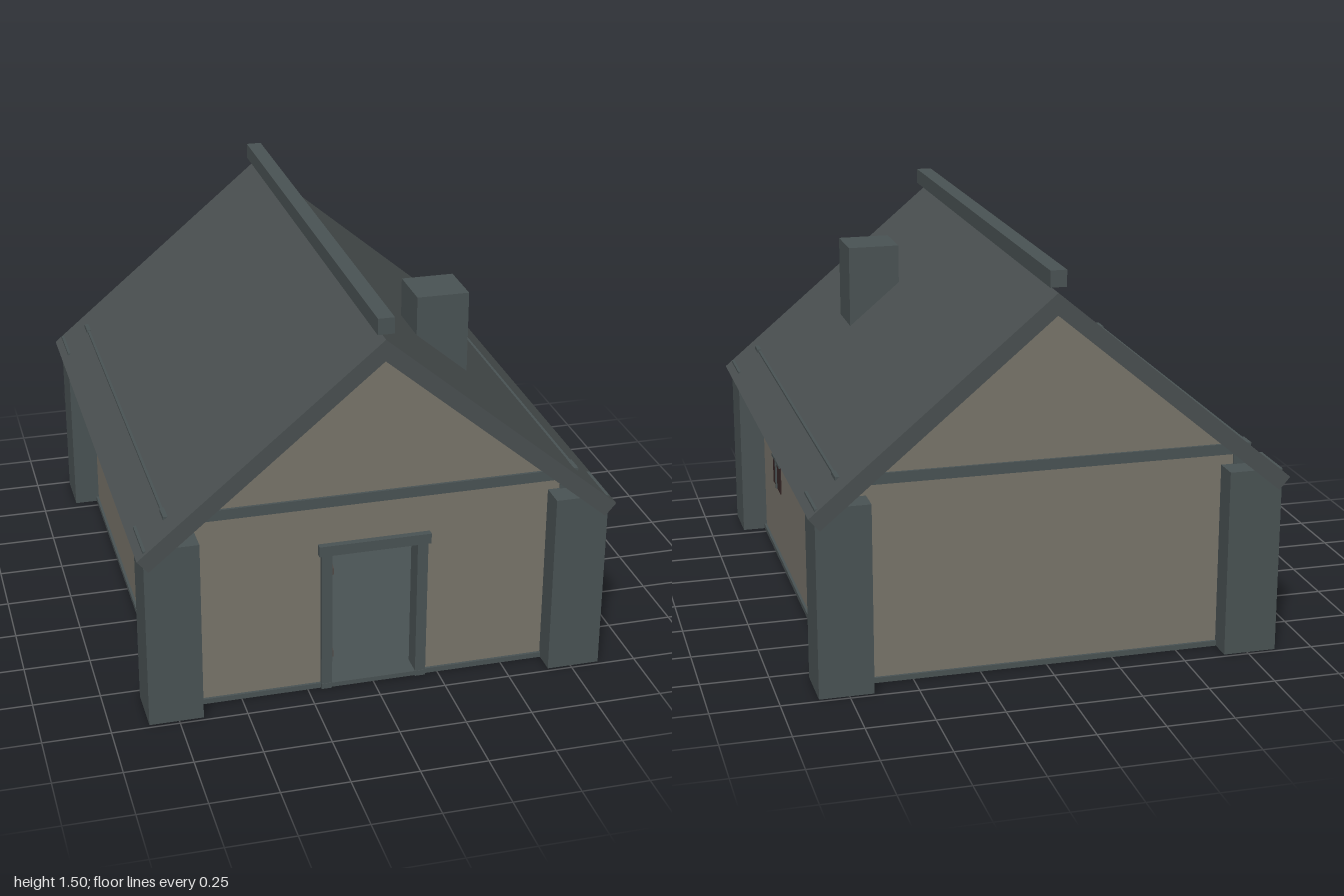
import * as THREE from 'three';

const mat = (name, color) => {
  const m = new THREE.MeshStandardMaterial({ color });
  m.name = name;
  return m;
};

export function createModel() {
  const slate = mat('slate', 0x4a5354);
  const roofing = mat('roofing', 0x4a5051);
  const plaster = mat('plaster', 0x79756b);
  const wood = mat('darkWood', 0x382828);
  const iron = mat('iron', 0x504946);

  const house = new THREE.Group();
  house.name = 'house';

  // Box given by its lower and upper limits on each axis
  const box = (name, m, [x0, x1], [y0, y1], [z0, z1], parent = house) => {
    const mesh = new THREE.Mesh(new THREE.BoxGeometry(x1 - x0, y1 - y0, z1 - z0), m);
    mesh.position.set((x0 + x1) / 2, (y0 + y1) / 2, (z0 + z1) / 2);
    mesh.name = name;
    parent.add(mesh);
    return mesh;
  };
  const span = (s, a, b) => (s > 0 ? [a, b] : [-b, -a]);

  // Outline in x and y, pushed along z
  const slab = (name, m, points, z0, z1, hole) => {
    const shape = new THREE.Shape(points.map(p => new THREE.Vector2(...p)));
    if (hole) shape.holes.push(new THREE.Path(hole.map(p => new THREE.Vector2(...p))));
    const mesh = new THREE.Mesh(
      new THREE.ExtrudeGeometry(shape, { depth: z1 - z0, bevelEnabled: false }), m);
    mesh.position.z = z0;
    mesh.name = name;
    house.add(mesh);
  };

  // Floor
  box('floor', slate, [-0.77, 0.77], [0, 0.02], [-0.9, 0.9]);

  // Gable walls, the front one with a doorway
  const gable = [[-0.75, 0.01], [0.75, 0.01], [0.75, 0.74], [0, 1.38], [-0.75, 0.74]];
  const doorway = [[-0.17, 0.02], [-0.17, 0.57], [0.17, 0.57], [0.17, 0.02]];
  slab('frontWall', plaster, gable, 0.85, 0.89, doorway);
  slab('backWall', plaster, gable, -0.89, -0.85);

  // Side walls, wall plates and windows
  for (const s of [1, -1]) {
    box('sideWall', plaster, span(s, 0.72, 0.76), [0.015, 0.72], [-0.885, 0.885]);
    box('wallPlate', slate, span(s, 0.705, 0.767), [0.71, 0.787], [-0.895, 0.895]);
    box('crossBeam', slate, [-0.77, 0.77], [0.75, 0.79], span(s, 0.83, 0.9));
    for (const z of [0.445, -0.442]) {
      box('windowPane', wood, span(s, 0.715, 0.764), [0.3, 0.51], [z - 0.09, z + 0.09]);
      box('windowUpright', slate, span(s, 0.71, 0.77), [0.3, 0.51], [z - 0.007, z + 0.007]);
      box('windowCrossbar', slate, span(s, 0.711, 0.769), [0.412, 0.424], [z - 0.09, z + 0.09]);
    }
    // Corner piers
    for (const t of [1, -1])
      box('cornerPier', slate, span(s, 0.66, 0.86), [0, 0.71], span(t, 0.79, 0.985));
    // Door jambs
    box('doorJamb', slate, span(s, 0.16, 0.2), [0, 0.56], [0.83, 0.91]);
  }
  box('doorLintel', slate, [-0.21, 0.21], [0.56, 0.6], [0.825, 0.915]);
  box('doorSill', slate, [-0.2, 0.2], [0.005, 0.023], [0.83, 0.912]);

  // Roof, ridge beam and chimney
  slab('roof', roofing, [
    [0, 1.42], [-0.885, 0.68], [-0.845, 0.633],
    [0, 1.34], [0.845, 0.633], [0.885, 0.68],
  ], -1, 1);
  box('ridgeBeam', slate, [-0.03, 0.03], [1.44, 1.5], [-1, 1]);
  box('chimney', slate, [0.28, 0.48], [1.0, 1.335], [0.258, 0.458]);

  // Door swung inwards, with two hinge straps
  const door = new THREE.Group();
  door.name = 'door';
  door.position.set(-0.16, 0, 0.85);
  door.rotation.y = 1.45;
  box('doorLeaf', wood, [0, 0.31], [0.03, 0.545], [-0.006, 0.014], door);
  for (const y of [0.11, 0.458])
    box('hingeStrap', iron, [0, 0.26], [y - 0.013, y + 0.013], [-0.012, 0.02], door);
  house.add(door);

  // Table and chest
  const table = new THREE.Group();
  table.name = 'table';
  box('tableTop', wood, [0, 0.5], [0.2, 0.222], [-0.2, 0.2], table);
  for (const x of [0.013, 0.465])
    for (const z of [-0.18, 0.158])
      box('tableLeg', wood, [x, x + 0.022], [0.02, 0.2], [z, z + 0.022], table);
  house.add(table);
  box('chest', wood, [-0.2, -0.022], [0.02, 0.138], [-0.1, 0.1]);

  return house;
}
